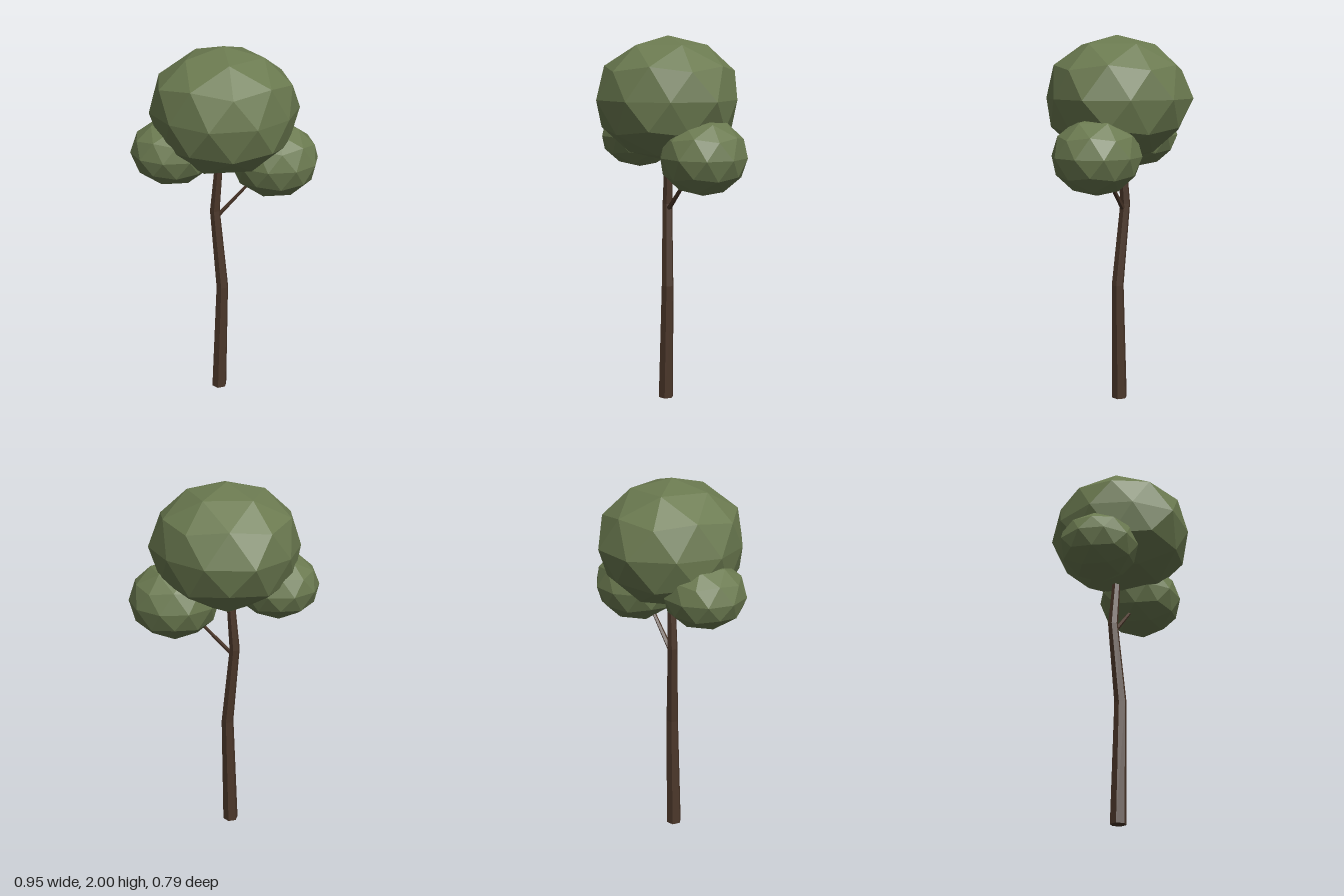
import * as THREE from 'three';

const leafGreen = new THREE.MeshStandardMaterial({ color: 0x6b7a50, flatShading: true });
leafGreen.name = 'leaf green';
const barkBrown = new THREE.MeshStandardMaterial({ color: 0x4a3629, flatShading: true });
barkBrown.name = 'bark brown';

// Faceted leaf ball standing on a corner; girth scales the ten equator corners
function leafBall(name, [x, y, z], [rx, ry, rz], girth) {
  const geo = new THREE.IcosahedronGeometry(1, 1);
  geo.rotateX(-Math.atan((1 + Math.sqrt(5)) / 2));
  geo.rotateY(Math.PI / 2);
  const p = geo.attributes.position;
  for (let i = 0; girth && i < p.count; i++) {
    if (Math.abs(p.getY(i)) > 0.01) continue;
    const deg = THREE.MathUtils.radToDeg(Math.atan2(p.getZ(i), p.getX(i)));
    const k = girth[(Math.round((deg - 18) / 36) + 10) % 10];
    p.setXYZ(i, p.getX(i) * k, 0, p.getZ(i) * k);
  }
  geo.scale(rx, ry, rz);
  geo.computeVertexNormals();
  const mesh = new THREE.Mesh(geo, leafGreen);
  mesh.name = name;
  mesh.position.set(x, y, z);
  return mesh;
}

// Tapered limb whose rings follow stops of [x, y, z, radius], lowest first
function limb(name, stops, sides) {
  const n = stops.length - 1;
  const geo = new THREE.CylinderGeometry(1, 1, 1, sides, n).toNonIndexed();
  const p = geo.attributes.position;
  for (let i = 0; i < p.count; i++) {
    const [x, y, z, r] = stops[Math.round((p.getY(i) + 0.5) * n)];
    p.setXYZ(i, x + p.getX(i) * r, y, z + p.getZ(i) * r);
  }
  geo.computeVertexNormals();
  const mesh = new THREE.Mesh(geo, barkBrown);
  mesh.name = name;
  return mesh;
}

export function createModel() {
  const tree = new THREE.Group();
  tree.name = 'tree';

  // Crooked trunk and the side branch
  tree.add(limb('trunk', [
    [-0.035, 0, 0.003, 0.043],
    [-0.017, 0.65, 0, 0.034],
    [-0.06, 1.1, -0.015, 0.028],
    [-0.03, 1.45, -0.012, 0.021],
  ], 6));
  tree.add(limb('branch', [
    [-0.045, 1.07, -0.015, 0.016],
    [0.2, 1.345, -0.08, 0.008],
  ], 5));

  // Foliage
  tree.add(leafBall('crown', [-0.01, 1.67, 0], [0.395, 0.33, 0.395],
    [0.94, 0.965, 1, 0.935, 0.97, 0.965, 1.03, 1, 0.95, 1.015]));
  tree.add(leafBall('leftFoliage', [0.245, 1.385, -0.1], [0.238, 0.203, 0.232]));
  tree.add(leafBall('rightFoliage', [-0.265, 1.46, 0.075], [0.22, 0.175, 0.217]));
  return tree;
}
